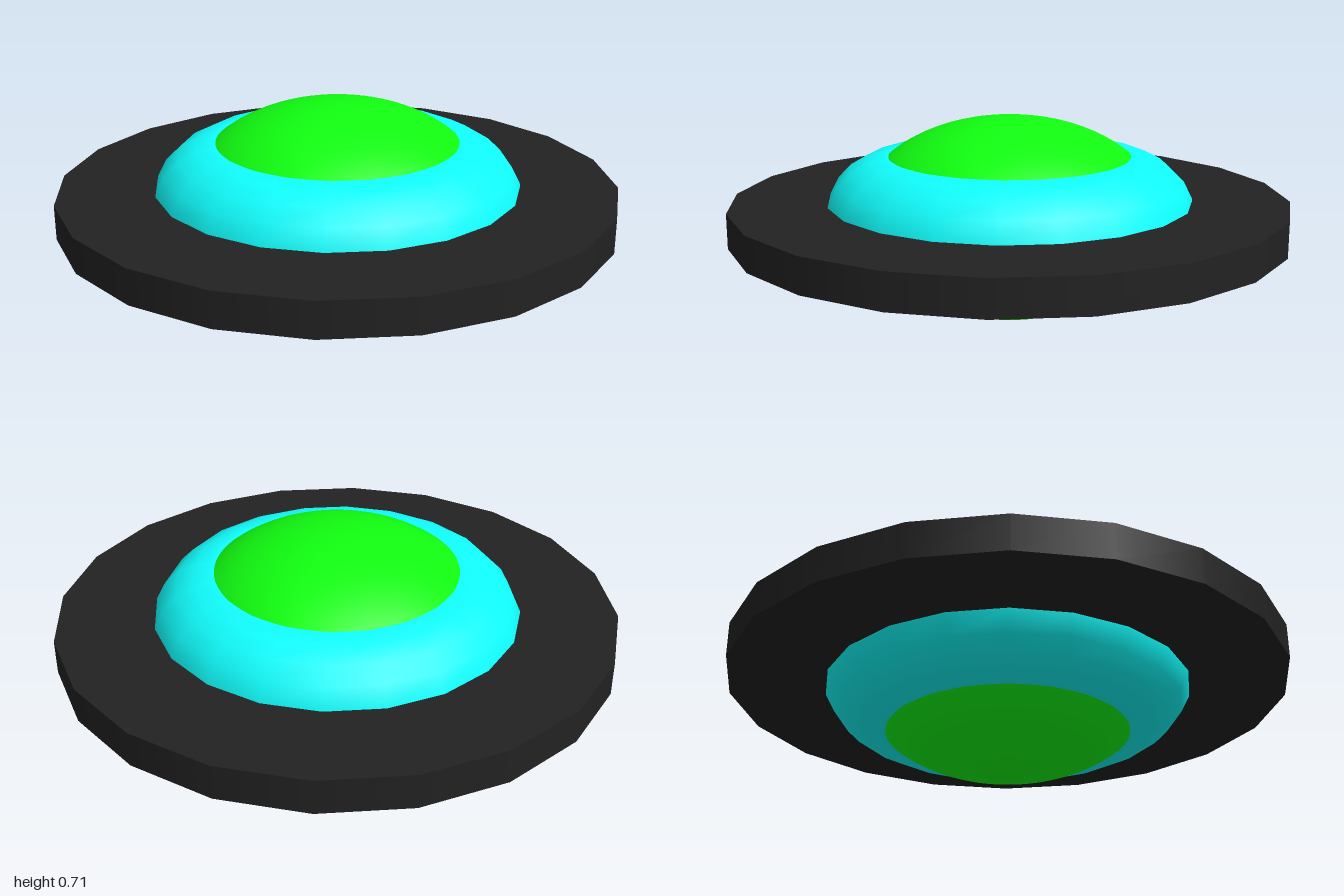
import * as THREE from 'three';

const MID = 0.356; // height of the shared centre plane

export function createModel() {
  const model = new THREE.Group();
  model.name = 'saucer';

  const add = (name, geometry, color) => {
    const mesh = new THREE.Mesh(geometry, new THREE.MeshStandardMaterial({ color }));
    mesh.name = name;
    mesh.position.y = MID;
    model.add(mesh);
    return mesh;
  };

  // Flat twenty-sided outer disc
  add('outerDisc', new THREE.CylinderGeometry(1, 1, 0.124, 20), 0x222222);

  // Round collar lying flat around the core
  const collar = new THREE.TorusGeometry(0.442, 0.222, 20, 20);
  collar.rotateX(Math.PI / 2);
  add('collar', collar, 0x11ffff);

  // Flattened core, forming the domes above and below
  const core = new THREE.SphereGeometry(0.553, 64, 40);
  core.scale(1, MID / 0.553, 1);
  add('core', core, 0x11ff11);

  return model;
}
